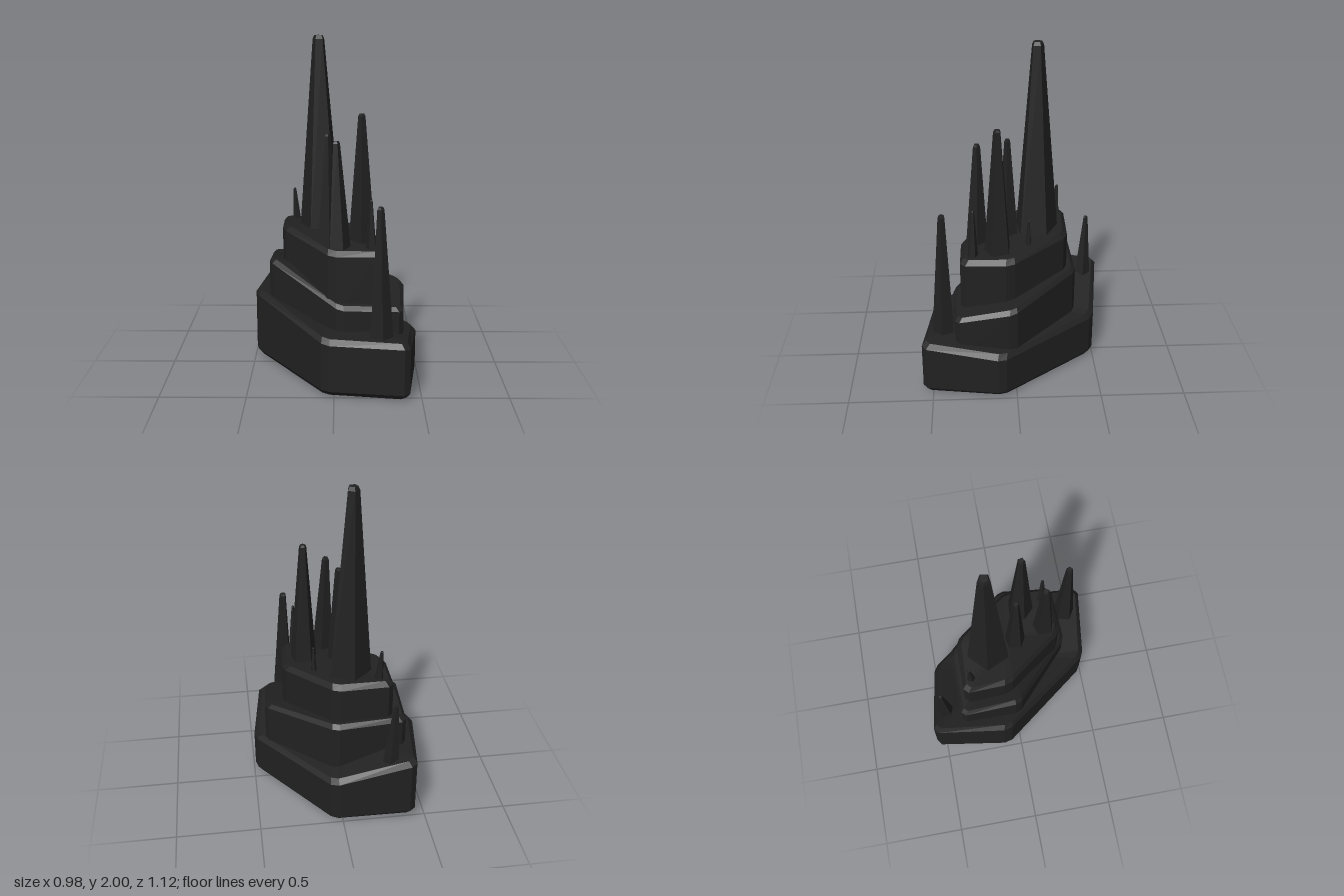
import * as THREE from 'three';

const rock = new THREE.MeshStandardMaterial({ color: 0x212122, flatShading: true });
rock.name = 'dark rock';

// Closed solid from a stack of rings, bottom to top (each ring runs clockwise seen from above)
function loft(name, rings) {
  const pos = [];
  const tri = (a, b, c) => pos.push(...a, ...b, ...c);
  const n = rings[0].length;
  const middle = (ring) => [0, 1, 2].map((k) => ring.reduce((s, p) => s + p[k], 0) / n);
  const low = rings[0], high = rings[rings.length - 1];
  const lowMid = middle(low), highMid = middle(high);
  for (let i = 0; i < n; i++) {
    const j = (i + 1) % n;
    for (let r = 0; r + 1 < rings.length; r++) {
      const a = rings[r], b = rings[r + 1];
      tri(a[j], a[i], b[i]);
      tri(a[j], b[i], b[j]);
    }
    tri(lowMid, low[i], low[j]);
    tri(highMid, high[j], high[i]);
  }
  const g = new THREE.BufferGeometry();
  g.setAttribute('position', new THREE.Float32BufferAttribute(pos, 3));
  g.computeVertexNormals();
  const mesh = new THREE.Mesh(g, rock);
  mesh.name = name;
  return mesh;
}

// Replace every corner [x, z, bottom, top] by two points set back along its edges
function cutCorners(corners, cut) {
  const n = corners.length;
  return corners.flatMap((p, i) => [corners[(i + n - 1) % n], corners[(i + 1) % n]].map((q) => {
    const t = cut / Math.hypot(q[0] - p[0], q[1] - p[1]);
    return p.map((v, k) => v + (q[k] - v) * t);
  }));
}

// Chamfered slab with uneven top and bottom
function tier(name, corners, bevel) {
  const pts = cutCorners(corners, bevel);
  const ring = (k, dy, inset) => pts.map((p) => {
    const s = 1 - inset / Math.hypot(p[0], p[1]);
    return [p[0] * s, p[k] + dy, p[1] * s];
  });
  return loft(name, [
    ring(2, 0, bevel), ring(2, bevel, 0), ring(3, -bevel, 0), ring(3, 0, bevel),
  ]);
}

// Five-sided leaning spike with a small chamfered tip
function spike(name, { base, r, y0, tip, tipR, y1, turn }) {
  const ring = ([x, z], rad, y) => Array.from({ length: 5 }, (_, i) => {
    const a = THREE.MathUtils.degToRad(turn + i * 72);
    return [x + rad * Math.cos(a), y, z + rad * Math.sin(a)];
  });
  return loft(name, [
    ring(base, r, y0), ring(tip, tipR, y1 - tipR * 0.6), ring(tip, tipR * 0.7, y1),
  ]);
}

export function createModel() {
  const model = new THREE.Group();
  model.name = 'rockSpire';

  // Stepped rock slabs: x, z, bottom, top of each corner
  model.add(tier('lowerTier', [
    [-0.426, -0.564, 0.06, 0.455], [0.055, -0.497, 0, 0.3], [0.494, 0.085, 0, 0.285],
    [0.426, 0.564, 0.01, 0.345], [-0.055, 0.497, 0.005, 0.345], [-0.494, -0.085, 0.03, 0.455],
  ], 0.03));
  model.add(tier('middleTier', [
    [-0.395, -0.365, 0.25, 0.63], [0.03, -0.38, 0.2, 0.615], [0.42, 0.015, 0.2, 0.55],
    [0.398, 0.36, 0.2, 0.49], [0.03, 0.375, 0.2, 0.5], [-0.395, 0.0, 0.25, 0.68],
  ], 0.025));
  model.add(tier('upperTier', [
    [-0.32, -0.33, 0.4, 0.865], [0.02, -0.325, 0.4, 0.855], [0.305, 0.03, 0.4, 0.815],
    [0.28, 0.325, 0.4, 0.81], [-0.02, 0.32, 0.4, 0.81], [-0.315, -0.05, 0.4, 0.875],
  ], 0.03));

  // Spikes, tallest first, then those on the lower ledges
  const spikes = {
    mainSpike: { base: [-0.08, -0.14], r: 0.137, y0: 0.8, tip: [-0.095, -0.14], tipR: 0.036, y1: 2, turn: -97 },
    leftSpike: { base: [0.165, 0.1], r: 0.085, y0: 0.78, tip: [0.157, 0.1], tipR: 0.022, y1: 1.57, turn: -120 },
    middleSpike: { base: [-0.04, 0.032], r: 0.068, y0: 0.78, tip: [-0.04, 0.035], tipR: 0.018, y1: 1.44, turn: -135 },
    frontSpike: { base: [0.028, 0.225], r: 0.07, y0: 0.78, tip: [0.01, 0.215], tipR: 0.022, y1: 1.43, turn: -75 },
    smallLeftSpike: { base: [0.213, 0.25], r: 0.035, y0: 0.78, tip: [0.21, 0.245], tipR: 0.009, y1: 1.1, turn: -100 },
    smallRightSpike: { base: [-0.235, -0.27], r: 0.03, y0: 0.82, tip: [-0.25, -0.28], tipR: 0.009, y1: 1.05, turn: -120 },
    tinySpike: { base: [0.122, -0.082], r: 0.02, y0: 0.8, tip: [0.122, -0.082], tipR: 0.007, y1: 0.99, turn: -110 },
    frontLedgeSpike: { base: [0.27, 0.43], r: 0.072, y0: 0.3, tip: [0.256, 0.422], tipR: 0.021, y1: 1.1, turn: -60 },
    backLedgeSpike: { base: [-0.287, -0.46], r: 0.055, y0: 0.35, tip: [-0.303, -0.475], tipR: 0.014, y1: 0.805, turn: -145 },
  };
  for (const [name, s] of Object.entries(spikes)) model.add(spike(name, s));
  return model;
}
